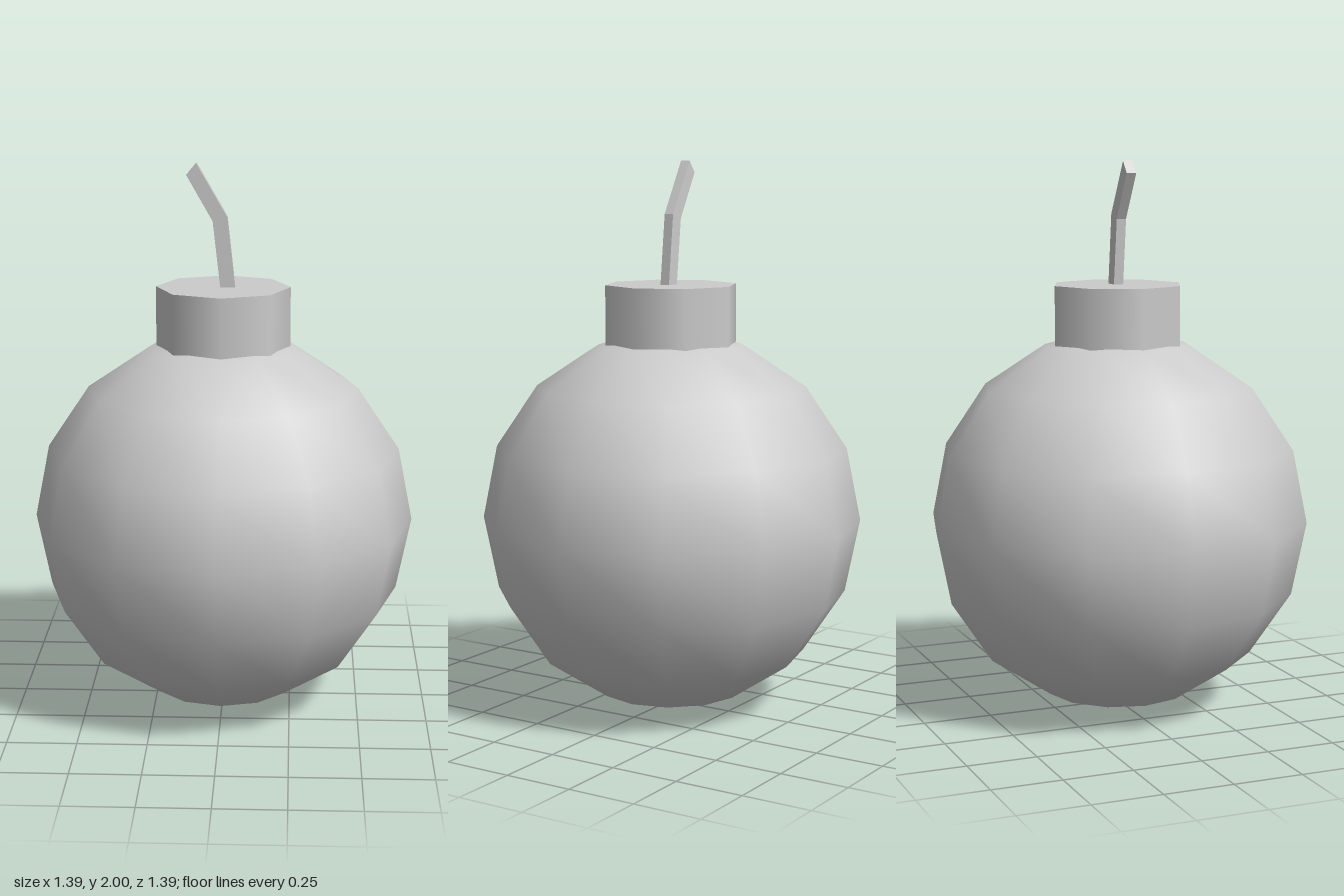
import * as THREE from 'three';

export function createModel() {
  const group = new THREE.Group();
  const smooth = new THREE.MeshStandardMaterial({ color: 0xcccccc });
  const flat = new THREE.MeshStandardMaterial({ color: 0xcccccc, flatShading: true });

  const add = (name, geometry, material, y = 0) => {
    const mesh = new THREE.Mesh(geometry, material);
    mesh.name = name;
    mesh.position.y = y;
    group.add(mesh);
    return mesh;
  };

  // Round low-poly body
  add('body', new THREE.SphereGeometry(0.694, 12, 8), smooth, 0.697);

  // Octagonal collar, with corners on the x and z axes
  add('collar', new THREE.CylinderGeometry(0.242, 0.242, 0.22, 8), smooth, 1.448);

  // Bent fuse: a side outline given a small depth
  const outline = new THREE.Shape([
    [-0.01, 1.555], [0.043, 1.555], [0.015, 1.81],
    [-0.095, 2.0], [-0.13, 1.957], [-0.037, 1.794],
  ].map(([x, y]) => new THREE.Vector2(x, y)));
  const depth = 0.036;
  const fuse = new THREE.ExtrudeGeometry(outline, { depth, bevelEnabled: false });
  fuse.translate(0, 0, -depth / 2);
  add('fuse', fuse, flat);

  return group;
}
